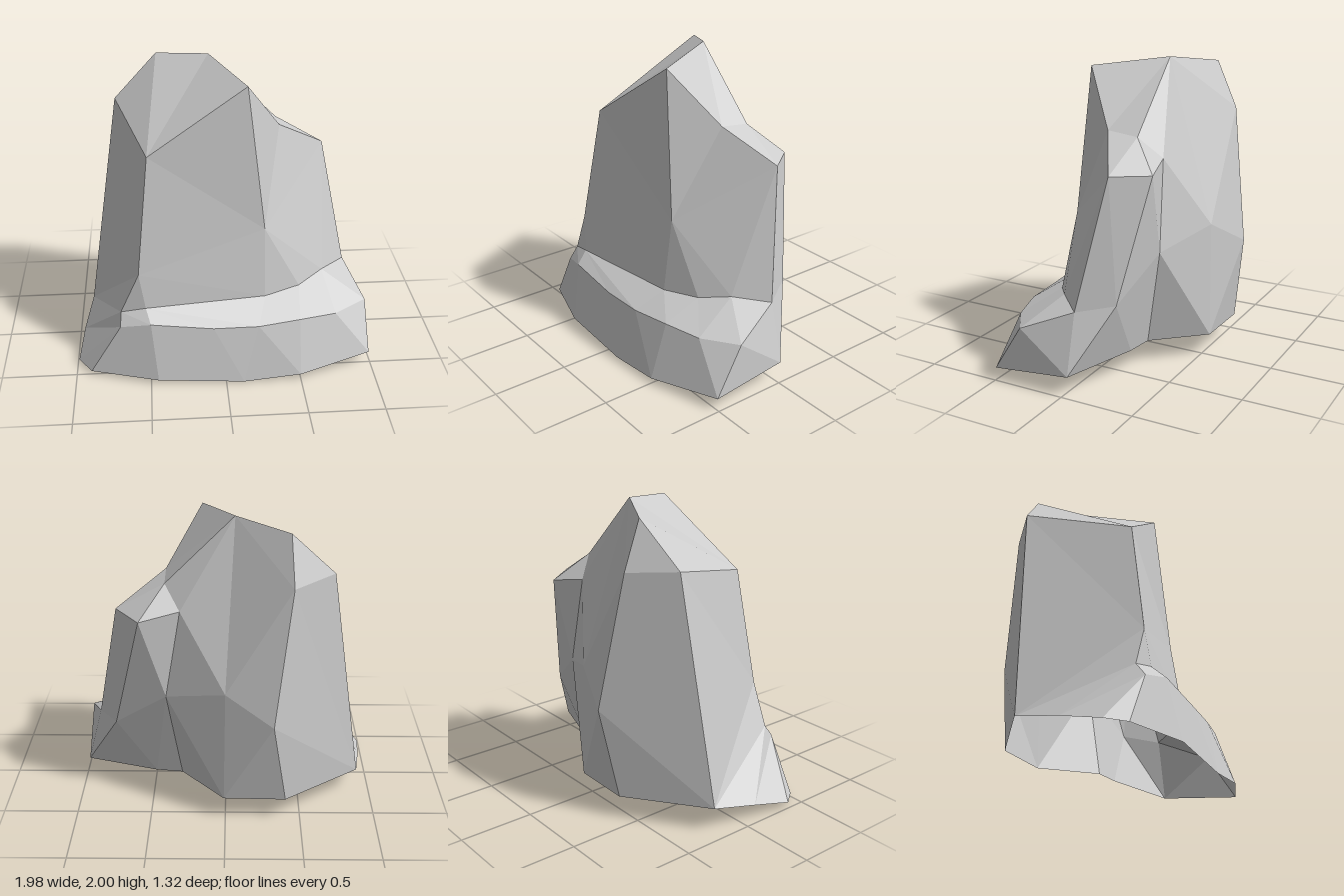
import * as THREE from 'three';

// Joins two rows of points with flat triangles; repeated points make fans.
function strip(name, upper, lower, material) {
  const points = [];
  const add = (a, b, c) => {
    if (a !== b && b !== c && a !== c) points.push(...a, ...b, ...c);
  };
  for (let i = 0; i < upper.length - 1; i++) {
    add(upper[i], lower[i], lower[i + 1]);
    add(upper[i], lower[i + 1], upper[i + 1]);
  }
  const geometry = new THREE.BufferGeometry();
  geometry.setAttribute('position', new THREE.Float32BufferAttribute(points, 3));
  geometry.computeVertexNormals();
  const mesh = new THREE.Mesh(geometry, material);
  mesh.name = name;
  return mesh;
}

export function createModel() {
  const stone = new THREE.MeshStandardMaterial({ color: 0xcccccc });
  stone.name = 'pale grey stone';
  stone.flatShading = true;
  stone.side = THREE.DoubleSide;

  // Summit and shoulders
  const peak = [-0.06, 2, -0.21], hump = [-0.4, 1.95, -0.4], notch = [0.39, 1.55, -0.21];
  const rightTop = [-0.685, 1.665, -0.32], frontRight = [-0.48, 1.525, 0.345];
  const frontLeft = [0.157, 1.94, 0.255], step = [0.392, 1.575, 0];
  const shoulder = [0.713, 1.365, -0.185], shoulderBack = [0.55, 1.36, -0.4];
  const backNotch = [0.29, 1.41, -0.34], backTop = [-0.42, 1.64, -0.53];

  // Points around the waist
  const knee = [-0.56, 0.74, 0.455], hollow = [0.275, 0.97, 0.31];
  const hip = [0.74, 0.56, -0.25], crease = [0.39, 0.82, -0.37];
  const backMid = [0, 0.93, -0.55], backBulge = [-0.31, 0.75, -0.66];

  // Feet of the sides and back
  const rightFoot = [-0.91, 0.16, -0.21], rightToe = [-0.96, 0.1, 0.1];
  const leftFoot = [0.975, 0.13, -0.03], lobeFoot = [0.48, 0.15, -0.21];
  const creaseFoot = [0.3, 0.155, -0.24], backFoot = [0.01, 0.155, -0.56];
  const backRightFoot = [-0.4, 0.155, -0.57];

  // Inner and outer edges of the front ledge, and the rim below it
  const inner = [
    [-0.685, 0.46, 0.45], [-0.52, 0.5, 0.48], [0.28, 0.495, 0.38],
    [0.52, 0.51, 0.285], [0.695, 0.55, 0.155], [0.875, 0.525, -0.03],
  ];
  const outer = [
    [-0.69, 0.38, 0.51], [-0.49, 0.425, 0.565], [-0.08, 0.385, 0.58],
    [0.22, 0.38, 0.57], [0.5, 0.395, 0.53], [0.75, 0.385, 0.46], [0.977, 0.39, 0.31],
  ];
  const rim = [
    [-0.99, 0.035, 0.38], [-0.9, 0.025, 0.5], [-0.45, 0.03, 0.64],
    [0.12, 0, 0.655], [0.5, 0.035, 0.65], [0.987, 0.083, 0.5],
  ];
  const [i0, i1, i2, i3, i4, i5] = inner;
  const [o0, o1, o2, o3, o4, o5, o6] = outer;
  const [r0, r1, r2, r3, r4, r5] = rim;

  const rock = new THREE.Group();
  rock.name = 'rock';
  rock.add(
    // Sloping summit
    strip('crown',
      [peak, hump, hump, hump, peak, peak, notch, notch, notch, notch, peak],
      [backTop, backTop, rightTop, frontRight, frontRight, frontLeft, step,
        shoulder, shoulderBack, backNotch, backNotch], stone),
    // Tall walls, running round from the right side
    strip('upperWalls',
      [rightTop, frontRight, frontLeft, step, shoulder, shoulder, shoulder, shoulderBack,
        shoulderBack, backNotch, backNotch, peak, backTop, backTop, rightTop],
      [rightFoot, knee, hollow, hollow, hollow, i4, i5, hip,
        crease, crease, backMid, backMid, backMid, backBulge, rightFoot], stone),
    // Lower walls down to the ledge and the feet
    strip('lowerWalls',
      [rightFoot, knee, knee, hollow, hollow, i4, i5, hip, hip, crease, crease, crease,
        backMid, backBulge, backBulge, rightFoot],
      [rightToe, i0, i1, i2, i3, i4, i5, leftFoot, lobeFoot, lobeFoot, creaseFoot, backFoot,
        backFoot, backFoot, backRightFoot, rightFoot], stone),
    // Narrow shelf across the front
    strip('ledge',
      [i0, i0, i1, i1, i2, i3, i4, i5],
      [o0, o1, o1, o2, o3, o4, o5, o6], stone),
    // Flared base, open underneath
    strip('skirt',
      [i0, o0, o0, o0, o1, o2, o3, o4, o5, o5, o6, o6, i5],
      [rightToe, rightToe, r0, r1, r2, r2, r3, r4, r4, r5, r5, leftFoot, leftFoot], stone),
  );
  return rock;
}
